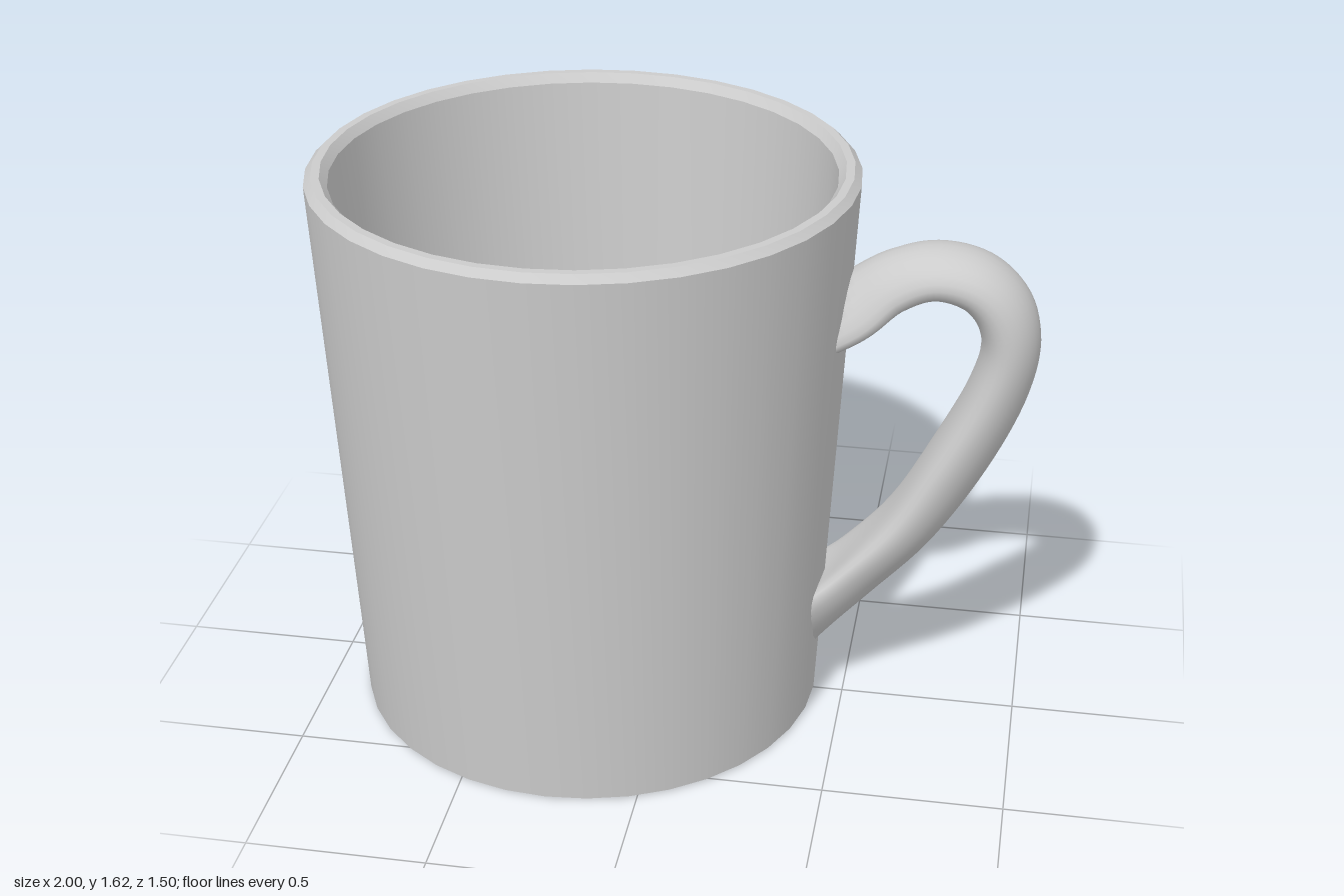
import * as THREE from 'three';
import { toCreasedNormals } from 'three/addons/utils/BufferGeometryUtils.js';

const CUP_X = -0.25;
const wallRadius = (y) => 0.665 + (0.085 * y) / 1.6;

// Hollow tapered cup, from the recessed underside, up the outside and down the inside
function cupGeometry() {
  const profile = [
    [0, 0.03], [0.63, 0.03], [0.645, 0], [0.665, 0.004],
    [0.75, 1.6], [0.73, 1.62], [0.707, 1.62], [0.687, 1.595],
    [0.592, 0.1], [0, 0.1],
  ].map(([r, y]) => new THREE.Vector2(r, y));
  return toCreasedNormals(new THREE.LatheGeometry(profile, 36), 0.5);
}

// Rounded, inward-flattened section swept along the ear; its ends are trimmed to the cup wall
function handleGeometry() {
  // x, y, half width, half thickness, flattening of the inner side
  const stations = [
    [0.34, 1.19, 0.155, 0.075, 0.7],
    [0.49, 1.275, 0.145, 0.075, 0.7],
    [0.6, 1.347, 0.128, 0.073, 0.4],
    [0.71, 1.38, 0.124, 0.07, 0.2],
    [0.82, 1.355, 0.124, 0.075, 0.1],
    [0.895, 1.28, 0.124, 0.08, 0.1],
    [0.92, 1.165, 0.124, 0.08, 0.1],
    [0.885, 1.01, 0.124, 0.082, 0.2],
    [0.79, 0.8, 0.124, 0.083, 0.3],
    [0.67, 0.59, 0.124, 0.076, 0.4],
    [0.53, 0.415, 0.13, 0.068, 0.7],
    [0.42, 0.295, 0.152, 0.07, 0.9],
    [0.3, 0.15, 0.16, 0.07, 0.9],
  ];
  const spline = (f) => new THREE.CatmullRomCurve3(stations.map(f), false, 'catmullrom', 0.5);
  const path = spline(([x, y]) => new THREE.Vector3(x, y, 0));
  const section = spline(([, , w, t, k]) => new THREE.Vector3(w, t, k));
  const rings = 72, sides = 24;
  const positions = [], index = [];
  for (let i = 0; i <= rings; i++) {
    const u = i / rings;
    const c = path.getPoint(u), d = path.getTangent(u), s = section.getPoint(u);
    for (let j = 0; j < sides; j++) {
      const a = (j / sides) * Math.PI * 2;
      const z = s.x * Math.cos(a);
      const n = s.y * (Math.sin(a) - s.z * Math.cos(a) ** 2);
      const y = c.y + d.x * n;
      const wall = CUP_X + Math.sqrt(wallRadius(y) ** 2 - z * z) - 0.015;
      positions.push(Math.max(c.x - d.y * n, wall), y, z);
      if (i < rings) {
        const p = i * sides + j, q = i * sides + ((j + 1) % sides);
        index.push(p, p + sides, q, p + sides, q + sides, q);
      }
    }
  }
  const geometry = new THREE.BufferGeometry();
  geometry.setAttribute('position', new THREE.Float32BufferAttribute(positions, 3));
  geometry.setIndex(index);
  geometry.computeVertexNormals();
  return geometry;
}

export function createModel() {
  const group = new THREE.Group();
  group.name = 'mug';
  const material = new THREE.MeshStandardMaterial({ color: 0xcccccc });

  const cup = new THREE.Mesh(cupGeometry(), material);
  cup.name = 'cup';
  cup.position.x = CUP_X;

  const handle = new THREE.Mesh(handleGeometry(), material);
  handle.name = 'handle';

  group.add(cup, handle);
  return group;
}
